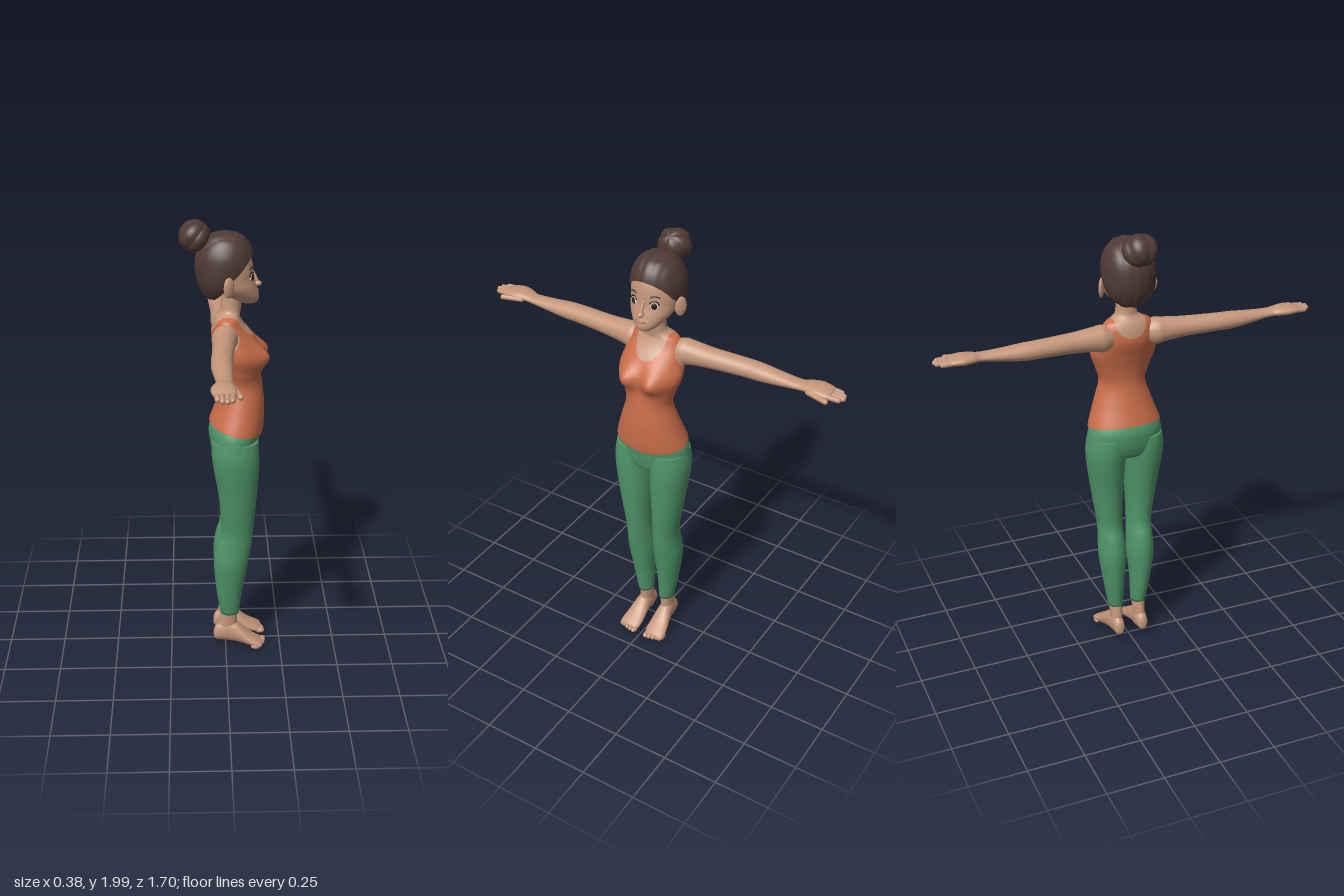
import * as THREE from 'three';

const mat = (name, color, side = THREE.FrontSide) => {
  const m = new THREE.MeshStandardMaterial({ color, side });
  m.name = name;
  return m;
};

// Smooth loft. Each section is [t, aMin, aMax, bMin, bMax] with t along the named axis.
const AXES = {
  y: (t, a, b) => [a, t, b], // a = x, b = z
  x: (t, a, b) => [t, b, a], // a = z, b = y
  z: (t, a, b) => [b, a, t], // a = y, b = x
};
function loft(axis, sections, warp, n = 40, sub = 6) {
  const pos = [], idx = [], last = sections.length - 1, rings = last * sub + 1;
  const at = (i) => sections[Math.min(last, Math.max(0, i))];
  const add = (t, a, b) => {
    const v = new THREE.Vector3(...AXES[axis](t, a, b));
    if (warp) warp(v);
    pos.push(v.x, v.y, v.z);
  };
  const centres = [];
  for (let r = 0; r < rings; r++) {
    const k = Math.min(last - 1, Math.floor(r / sub)), u = r / sub - k;
    const [t, a0, a1, b0, b1] = at(k).map((p1, c) => {
      const p0 = at(k - 1)[c], p2 = at(k + 1)[c], p3 = at(k + 2)[c];
      return p1 + 0.5 * u * (p2 - p0 + u * (2 * p0 - 5 * p1 + 4 * p2 - p3 + u * (3 * (p1 - p2) + p3 - p0)));
    });
    centres.push([t, (a0 + a1) / 2, (b0 + b1) / 2]);
    for (let i = 0; i < n; i++) {
      const w = (i / n) * Math.PI * 2;
      add(t, (a0 + a1) / 2 + ((a1 - a0) / 2) * Math.cos(w), (b0 + b1) / 2 + ((b1 - b0) / 2) * Math.sin(w));
    }
  }
  for (let r = 0; r < rings - 1; r++) for (let i = 0; i < n; i++) {
    const p = r * n + i, q = r * n + ((i + 1) % n);
    idx.push(p, p + n, q + n, p, q + n, q);
  }
  const end = rings * n, top = end - n;
  add(...centres[0]);
  add(...centres[rings - 1]);
  for (let i = 0; i < n; i++) {
    const j = (i + 1) % n;
    idx.push(end, i, j, end + 1, top + j, top + i);
  }
  const g = new THREE.BufferGeometry();
  g.setAttribute('position', new THREE.Float32BufferAttribute(pos, 3));
  g.setIndex(idx);
  g.computeVertexNormals();
  return g;
}

// Cut a geometry cleanly where rule(v) changes sign: returns [positive, negative]
function split(geo, rule) {
  const g = geo.index ? geo.toNonIndexed() : geo;
  const P = g.attributes.position, N = g.attributes.normal;
  return [1, -1].map((sign) => {
    const pos = [], nor = [];
    for (let i = 0; i < P.count; i += 3) {
      const c = [0, 1, 2].map((k) => {
        const p = new THREE.Vector3().fromBufferAttribute(P, i + k);
        return { p, n: new THREE.Vector3().fromBufferAttribute(N, i + k), f: sign * rule(p) };
      });
      const poly = [];
      c.forEach((a, k) => {
        const b = c[(k + 1) % 3];
        if (a.f >= 0) poly.push(a);
        if ((a.f >= 0) !== (b.f >= 0)) {
          const u = a.f / (a.f - b.f);
          poly.push({ p: a.p.clone().lerp(b.p, u), n: a.n.clone().lerp(b.n, u) });
        }
      });
      for (let k = 1; k + 1 < poly.length; k++)
        for (const v of [poly[0], poly[k], poly[k + 1]]) { pos.push(...v.p); nor.push(...v.n); }
    }
    const out = new THREE.BufferGeometry();
    out.setAttribute('position', new THREE.Float32BufferAttribute(pos, 3));
    out.setAttribute('normal', new THREE.Float32BufferAttribute(nor, 3));
    return out;
  });
}

function mirror(geo) {
  const g = geo.clone().scale(-1, 1, 1), ix = g.index.array;
  for (let i = 0; i < ix.length; i += 3) [ix[i], ix[i + 1]] = [ix[i + 1], ix[i]];
  g.computeVertexNormals();
  return g;
}

const ball = (rx, ry, rz, x, y, z, turn = 0) =>
  new THREE.SphereGeometry(1, 24, 16).scale(rx, ry, rz).rotateY(turn).translate(x, y, z);

function capsule(from, to, r) {
  const a = new THREE.Vector3(...from), d = new THREE.Vector3(...to).sub(a);
  const q = new THREE.Quaternion().setFromUnitVectors(new THREE.Vector3(0, 1, 0), d.clone().normalize());
  return new THREE.CapsuleGeometry(r, d.length(), 5, 12).applyQuaternion(q).translate(...a.addScaledVector(d, 0.5));
}

export function createModel() {
  const skin = mat('skin', 0xc4967a), shirt = mat('shirt orange', 0xc96d49, THREE.DoubleSide);
  const green = mat('trouser green', 0x4f9469), hair = mat('hair brown', 0x4f3a35, THREE.DoubleSide);
  const dark = mat('eye dark', 0x2b1c18), white = mat('eye white', 0xe6ddd4), lip = mat('lip', 0xa5695a);

  // Built facing +z, then turned to face +x
  const body = new THREE.Group();
  body.name = 'woman';
  const add = (name, geo, m) => {
    const mesh = new THREE.Mesh(geo, m);
    mesh.name = name;
    body.add(mesh);
  };
  const pair = (name, geo, m) => {
    add('left' + name, geo, m);
    add('right' + name, mirror(geo), m);
  };

  // Torso and neck, cut into tank top and bare skin
  const torso = loft('y', [
    [1.04, -0.172, 0.172, -0.076, 0.155], [1.10, -0.164, 0.164, -0.076, 0.166], [1.2, -0.13, 0.13, -0.04, 0.168],
    [1.29, -0.104, 0.104, -0.016, 0.158], [1.36, -0.122, 0.122, -0.02, 0.15], [1.43, -0.145, 0.145, -0.038, 0.152],
    [1.5, -0.134, 0.134, -0.06, 0.118], [1.55, -0.12, 0.12, -0.057, 0.08], [1.585, -0.1, 0.1, -0.045, 0.062],
    [1.602, -0.065, 0.065, -0.032, 0.062], [1.625, -0.046, 0.046, -0.022, 0.066], [1.71, -0.042, 0.042, -0.02, 0.072],
  ], (v) => {
    if (v.z > 0.03) v.z += 0.042 * Math.exp(-(((Math.abs(v.x) - 0.065) / 0.045) ** 2) - ((v.y - 1.42) / 0.055) ** 2);
  }, 72, 8);
  const aboveHem = split(torso, (v) => v.y - 1.104 + 0.21 * v.z)[0];
  const [top, bare] = split(aboveHem, ({ x, y, z }) => {
    const ax = Math.abs(x);
    const neckline = 0.07 * (Math.hypot(ax / 0.068, Math.min(0, y - 1.585) / (z > 0 ? 0.085 : 0.06)) - 1);
    const armhole = Math.max(0.113 - ax, 0.06 * (Math.hypot((z + 0.005) / 0.062, (y - 1.53) / 0.072) - 1));
    return Math.min(neckline, armhole);
  });
  add('tankTop', top, shirt);
  add('neckAndChest', bare, skin);

  // Trousers
  add('trouserSeat', loft('y', [
    [0.935, -0.05, 0.05, 0.0, 0.09], [0.96, -0.15, 0.15, -0.045, 0.13], [1.0, -0.174, 0.174, -0.064, 0.143],
    [1.05, -0.17, 0.17, -0.072, 0.15], [1.085, -0.163, 0.163, -0.072, 0.155], [1.12, -0.148, 0.148, -0.06, 0.15],
  ]), green);
  pair('TrouserLeg', loft('y', [
    [0.175, 0.022, 0.09, -0.023, 0.06], [0.3, 0.018, 0.111, -0.042, 0.076], [0.44, 0.006, 0.13, -0.053, 0.1],
    [0.53, 0.01, 0.127, -0.042, 0.115], [0.6, 0.014, 0.127, -0.022, 0.121], [0.7, 0.012, 0.142, -0.024, 0.13],
    [0.8, 0.007, 0.157, -0.034, 0.138], [0.92, 0.001, 0.174, -0.054, 0.145], [0.99, -0.004, 0.177, -0.062, 0.144],
    [1.05, 0.0, 0.167, -0.06, 0.14],
  ]), green);

  // Ankles, feet and toes
  pair('Ankle', loft('y', [
    [0.05, 0.03, 0.085, -0.04, 0.05], [0.12, 0.029, 0.084, -0.033, 0.052], [0.2, 0.028, 0.085, -0.02, 0.054],
  ]), skin);
  pair('Foot', loft('z', [
    [-0.055, 0.05, 0.08, 0.048, 0.068], [-0.042, 0.035, 0.11, 0.034, 0.082], [0.0, 0.03, 0.135, 0.028, 0.088],
    [0.05, 0.024, 0.122, 0.024, 0.097], [0.1, 0.014, 0.077, 0.018, 0.11], [0.14, 0.008, 0.05, 0.018, 0.117],
    [0.165, 0.008, 0.034, 0.026, 0.112],
  ]), skin);
  for (let i = 0; i < 5; i++) {
    const r = i ? 0.0105 : 0.014;
    pair('Toe' + (i + 1), ball(r, 0.0125, 0.022, 0.034 + i * 0.0185, 0.019, 0.163 - i * i * 0.0016), skin);
  }

  // Arms with palms, fingers and thumbs
  pair('Arm', loft('x', [
    [0.08, -0.045, 0.045, 1.475, 1.57], [0.12, -0.06, 0.05, 1.465, 1.583], [0.16, -0.06, 0.042, 1.474, 1.58],
    [0.25, -0.06, 0.032, 1.484, 1.572], [0.4, -0.068, 0.02, 1.49, 1.567], [0.47, -0.068, 0.018, 1.491, 1.565],
    [0.56, -0.06, 0.015, 1.502, 1.557], [0.65, -0.053, 0.013, 1.515, 1.552], [0.69, -0.066, 0.016, 1.517, 1.558],
    [0.73, -0.075, 0.024, 1.516, 1.561], [0.77, -0.07, 0.024, 1.52, 1.555], [0.79, -0.06, 0.018, 1.525, 1.549],
  ]), skin);
  [0.815, 0.833, 0.838, 0.826].forEach((tip, i) =>
    pair('Finger' + (i + 1), capsule([0.75, 1.537, -0.056 + i * 0.022], [tip, 1.534, -0.05 + i * 0.0185], 0.0115), skin));
  pair('Thumb', capsule([0.7, 1.532, 0.014], [0.785, 1.53, 0.036], 0.0115), skin);

  // Head, ears and nose
  add('head', loft('y', [
    [1.645, -0.018, 0.018, 0.075, 0.12], [1.655, -0.036, 0.036, 0.05, 0.136], [1.68, -0.064, 0.064, 0, 0.141],
    [1.72, -0.092, 0.092, -0.045, 0.13], [1.76, -0.102, 0.102, -0.07, 0.118], [1.8, -0.105, 0.105, -0.085, 0.115],
    [1.85, -0.1, 0.1, -0.085, 0.104], [1.9, -0.08, 0.08, -0.06, 0.075], [1.93, -0.03, 0.03, -0.02, 0.03],
  ]), skin);
  pair('Ear', ball(0.011, 0.044, 0.026, 0.113, 1.742, 0.012, -0.6), skin);
  add('nose', ball(0.014, 0.012, 0.017, 0, 1.728, 0.135), skin);
  add('noseBridge', capsule([0, 1.775, 0.115], [0, 1.733, 0.134], 0.008), skin);

  // Eyes, brows and mouth
  pair('EyeWhite', ball(0.018, 0.018, 0.006, 0.047, 1.768, 0.107, 0.45), white);
  pair('Iris', ball(0.012, 0.015, 0.006, 0.048, 1.768, 0.11, 0.45), dark);
  const arc = (r, tube, from, sweep) => new THREE.TorusGeometry(r, tube, 8, 20, sweep).rotateZ(from);
  pair('Lash', arc(0.019, 0.003, 0.2, 2.6).rotateY(0.45).translate(0.048, 1.769, 0.108), dark);
  pair('Brow', arc(0.032, 0.0032, 0.9, 1.3).rotateY(0.45).translate(0.05, 1.778, 0.106), hair);
  add('mouth', arc(0.034, 0.0035, Math.PI * 1.5 - 0.75, 1.5).scale(1, 1, 0.8).translate(0, 1.724, 0.137), lip);

  // Swept-back hair with soft ridges, cut along the hairline
  const cap = loft('y', [
    [1.675, -0.05, 0.05, -0.08, 0.0], [1.7, -0.082, 0.082, -0.1, 0.04], [1.75, -0.108, 0.108, -0.119, 0.085],
    [1.81, -0.115, 0.115, -0.126, 0.118], [1.86, -0.11, 0.11, -0.118, 0.114], [1.9, -0.092, 0.092, -0.098, 0.098],
    [1.93, -0.065, 0.065, -0.07, 0.07], [1.945, -0.025, 0.025, -0.03, 0.03],
  ], (v) => {
    const s = 1 + 0.025 * Math.abs(Math.cos(v.x * 75));
    v.set(v.x, 1.8 + (v.y - 1.8) * s, v.z * s);
  }, 72, 8);
  add('hair', split(cap, (v) => v.y - 1.738 - 1.2 * (v.z - 0.01))[0], hair);

  // Lobed bun
  const bun = new THREE.SphereGeometry(1, 64, 32), p = bun.attributes.position;
  for (let i = 0; i < p.count; i++) {
    const x = p.getX(i), y = p.getY(i), z = p.getZ(i);
    const s = 0.9 + 0.12 * Math.abs(Math.cos(2.5 * Math.atan2(z, x))) * Math.hypot(x, z);
    p.setXYZ(i, x * s, y * s, z * s);
  }
  bun.scale(0.074, 0.072, 0.066).rotateX(Math.PI / 2 - 0.9);
  bun.computeVertexNormals();
  add('bun', bun.translate(0, 1.931, -0.127), hair);

  body.rotation.y = Math.PI / 2;
  const model = new THREE.Group();
  model.name = 'standingWoman';
  model.add(body);
  return model;
}
